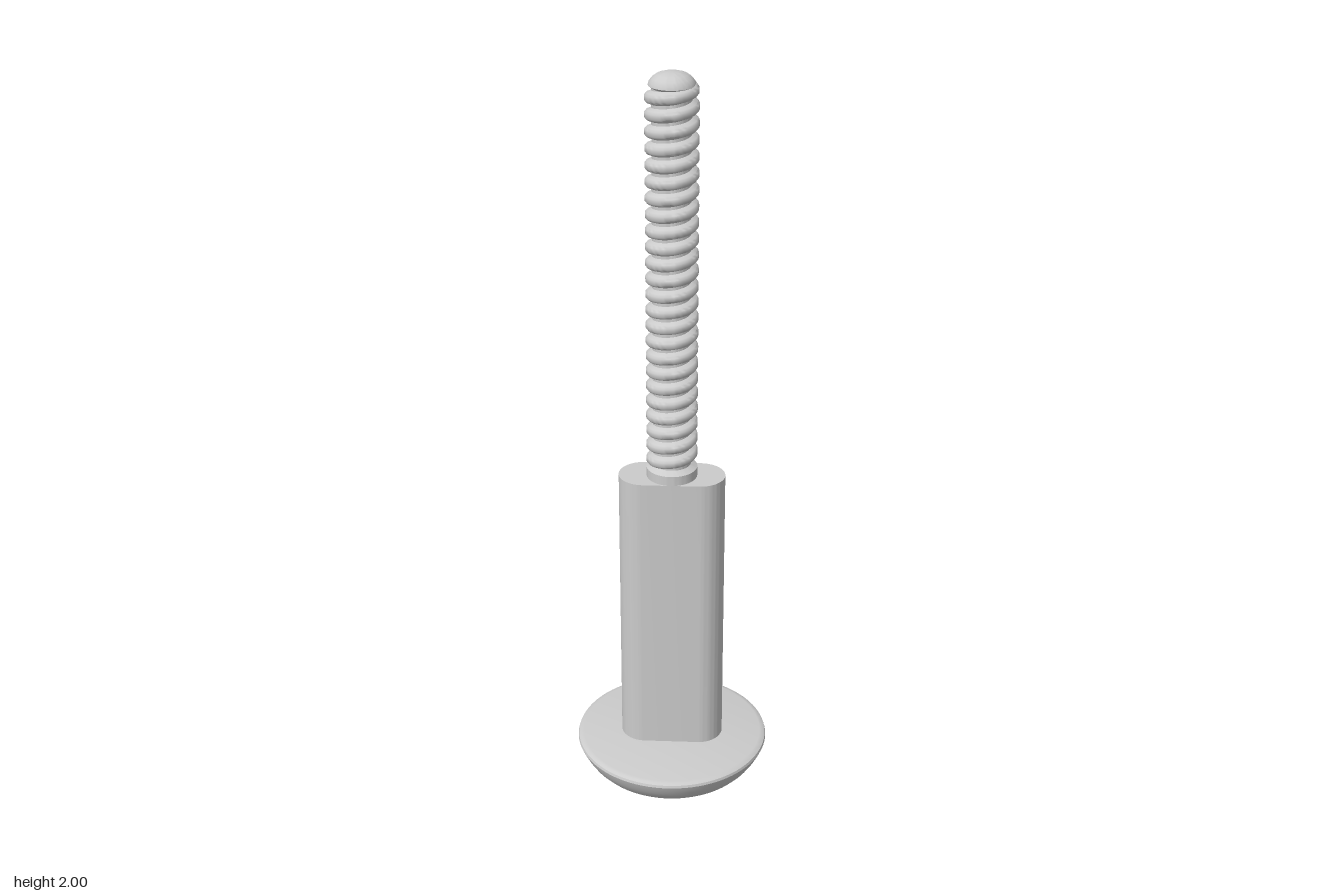
import * as THREE from 'three';
import { toCreasedNormals } from 'three/addons/utils/BufferGeometryUtils.js';

const material = new THREE.MeshStandardMaterial({ color: 0xcccccc });

function addPart(group, name, geometry, crease = 0.6) {
  const mesh = new THREE.Mesh(toCreasedNormals(geometry, crease), material);
  mesh.name = name;
  group.add(mesh);
  return mesh;
}

function lathe(points, segments) {
  return new THREE.LatheGeometry(points.map(([r, y]) => new THREE.Vector2(r, y)), segments);
}

// Right-handed ridge: a rounded tooth profile swept up a helix, fading into the core at both ends
function threadGeometry(y0, y1, pitch, core, crest) {
  const profile = [[-0.018, 0], [-0.012, 0.75], [-0.006, 1], [0.006, 1], [0.012, 0.75], [0.018, 0]];
  const perTurn = 48;
  const steps = Math.round(((y1 - y0) / pitch) * perTurn);
  const n = profile.length;
  const positions = [], indices = [];
  for (let i = 0; i <= steps; i++) {
    const angle = (i / perTurn) * Math.PI * 2;
    const y = y0 + (i / perTurn) * pitch;
    const fade = Math.min(1, i / 12, (steps - i) / 12);
    for (const [dy, h] of profile) {
      const r = core - 0.002 + (crest - core + 0.002) * h * fade;
      positions.push(r * Math.cos(angle), y + dy, -r * Math.sin(angle));
    }
    if (i === steps) continue;
    for (let j = 0; j < n - 1; j++) {
      const a = i * n + j, b = a + n;
      indices.push(a, b, a + 1, b, b + 1, a + 1);
    }
  }
  const geometry = new THREE.BufferGeometry();
  geometry.setAttribute('position', new THREE.Float32BufferAttribute(positions, 3));
  geometry.setIndex(indices);
  geometry.computeVertexNormals();
  return geometry;
}

export function createModel() {
  const group = new THREE.Group();
  group.name = 'bolt';

  // Round head, flat on top with a curved underside
  addPart(group, 'head', lathe([
    [0, 0], [0.165, 0.003], [0.185, 0.008], [0.205, 0.018], [0.224, 0.033], [0.24, 0.051],
    [0.252, 0.07], [0.261, 0.088], [0.265, 0.098], [0.263, 0.105], [0.257, 0.109], [0.248, 0.111], [0, 0.111],
  ], 96));

  // Flat-sided shank with rounded ends
  const r = 0.067, half = 0.074;
  const outline = new THREE.Shape();
  outline.absarc(half, 0, r, -Math.PI / 2, Math.PI / 2);
  outline.absarc(-half, 0, r, Math.PI / 2, Math.PI * 1.5);
  outline.closePath();
  const shank = new THREE.ExtrudeGeometry(outline, { depth: 0.815, bevelEnabled: false, curveSegments: 24 });
  shank.rotateX(-Math.PI / 2).translate(0, 0.107, 0);
  addPart(group, 'shank', shank);

  // Plain neck, threaded core and domed tip in one turned profile
  addPart(group, 'core', lathe([
    [0.067, 0.915], [0.067, 0.948], [0.05, 0.958], [0.05, 1.962], [0.058, 1.968],
    [0.056, 1.976], [0.049, 1.985], [0.038, 1.993], [0.022, 1.998], [0, 2],
  ], 64));

  // Helical thread
  addPart(group, 'thread', threadGeometry(0.95, 1.968, 0.042, 0.05, 0.067), 0.9);
  return group;
}
